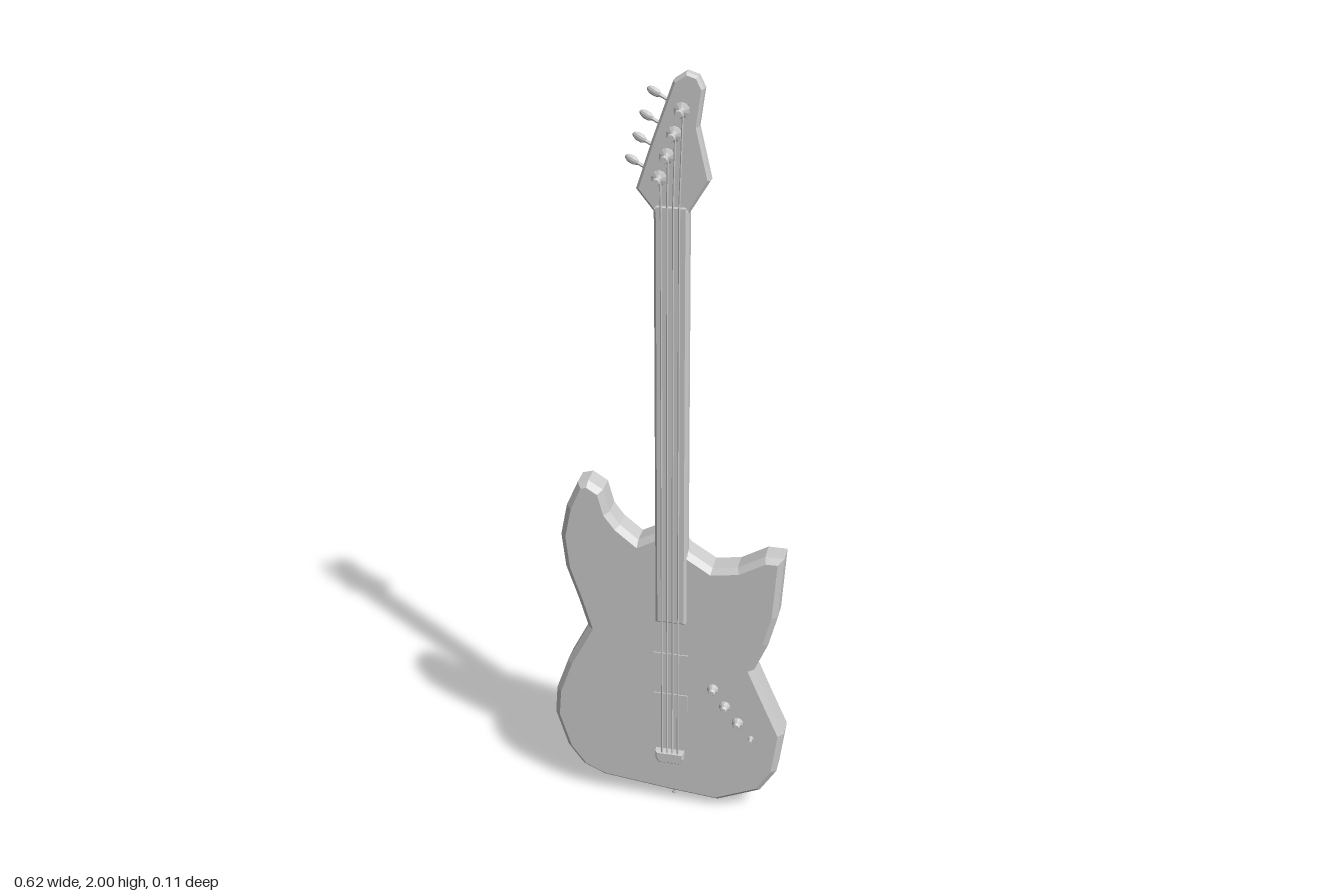
import * as THREE from 'three';

const mat = new THREE.MeshStandardMaterial({ color: 0xcccccc, flatShading: true });

function add(parent, name, geo) {
  const m = new THREE.Mesh(geo, mat);
  m.name = name;
  parent.add(m);
  return m;
}

// Flat outline turned into a slab from z0 to z1 with a chamfer inside the outline
function slab(points, z0, z1, bevel) {
  const shape = new THREE.Shape(points.map(([x, y]) => new THREE.Vector2(x, y)));
  const geo = new THREE.ExtrudeGeometry(shape, {
    depth: z1 - z0 - 2 * bevel, bevelEnabled: true, bevelSize: bevel,
    bevelThickness: bevel, bevelOffset: -bevel, bevelSegments: 1,
  });
  return geo.translate(0, 0, z0 + bevel);
}

const rect = (x0, y0, x1, y1) => [[x0, y0], [x1, y0], [x1, y1], [x0, y1]];

// Straight rod between two points
function rod(a, b, r, sides = 6) {
  return new THREE.TubeGeometry(new THREE.LineCurve3(new THREE.Vector3(...a), new THREE.Vector3(...b)), 1, r, sides);
}

// Turned part whose axis points out of the front face
function turned(profile, sides) {
  return new THREE.LatheGeometry(profile.map(([r, h]) => new THREE.Vector2(r, h)), sides).rotateX(Math.PI / 2);
}

export function createModel() {
  const guitar = new THREE.Group();
  guitar.name = 'guitar';

  // Body with two horns and a waist
  const outline = [
    [-0.23, 0.955], [-0.26, 0.886], [-0.277, 0.80], [-0.267, 0.706], [-0.235, 0.61], [-0.212, 0.53],
    [-0.27, 0.415], [-0.303, 0.32], [-0.309, 0.24], [-0.277, 0.135], [-0.235, 0.077], [-0.177, 0.05],
    [0.0, 0.03], [0.135, 0.018], [0.25, 0.07], [0.293, 0.14], [0.309, 0.265], [0.26, 0.378],
    [0.226, 0.458], [0.26, 0.54], [0.282, 0.627], [0.293, 0.80], [0.245, 0.80], [0.177, 0.76],
    [0.113, 0.75], [0.05, 0.79], [0.0, 0.845], [-0.03, 0.833], [-0.077, 0.807], [-0.124, 0.845],
    [-0.15, 0.88], [-0.166, 0.94], [-0.203, 0.963],
  ];
  add(guitar, 'body', slab(outline, -0.058, 0.02, 0.014));

  // Neck and fretboard
  add(guitar, 'neck', slab(rect(-0.03, 0.58, 0.05, 1.70), -0.008, 0.019, 0.004));
  add(guitar, 'fretboard', slab(rect(-0.03, 0.58, 0.05, 1.69), 0.016, 0.028, 0.006));
  add(guitar, 'nut', new THREE.BoxGeometry(0.07, 0.01, 0.016)).position.set(0.01, 1.69, 0.024);

  // Headstock
  add(guitar, 'headstock', slab([
    [-0.032, 1.68], [0.05, 1.68], [0.098, 1.76], [0.07, 1.88], [0.082, 1.965], [0.068, 1.992],
    [0.042, 2.0], [0.013, 1.98], [-0.035, 1.845], [-0.072, 1.73],
  ], -0.01, 0.02, 0.006));

  // Tuners and strings
  const pegs = [[-0.018, 1.76], [0, 1.812], [0.016, 1.863], [0.033, 1.917]];
  pegs.forEach(([x, y], i) => {
    const tuner = new THREE.Group();
    tuner.name = 'tuner' + (i + 1);
    tuner.position.set(x, y, 0);
    guitar.add(tuner);
    add(tuner, 'tunerPost', turned(
      [[0, 0.018], [0.018, 0.018], [0.018, 0.024], [0.009, 0.028], [0.006, 0.03],
        [0.006, 0.046], [0.01, 0.05], [0.008, 0.056], [0, 0.056]], 10));
    add(tuner, 'tunerShaft', rod([0, 0, 0.008], [-0.062, 0.033, 0.008], 0.004));
    const key = add(tuner, 'tunerKey', new THREE.SphereGeometry(1, 8, 6));
    key.scale.set(0.018, 0.01, 0.007);
    key.position.set(-0.064, 0.034, 0.008);
    key.rotation.z = -0.49;

    const sx = -0.011 + i * 0.014;
    add(guitar, 'string' + (i + 1), rod([sx, 0.16, 0.034], [sx, 1.69, 0.034], 0.0025));
    add(guitar, 'stringEnd' + (i + 1), rod([sx, 1.69, 0.034], [x + 0.006, y, 0.036], 0.0025));
  });

  // Pickups
  for (const y of [0.455, 0.328]) {
    add(guitar, 'pickup', new THREE.BoxGeometry(0.092, 0.058, 0.012)).position.set(0.009, y, 0.017);
  }

  // Bridge
  add(guitar, 'bridge', slab([
    [-0.022, 0.138], [0.038, 0.138], [0.047, 0.155], [0.047, 0.176], [-0.03, 0.176], [-0.03, 0.155],
  ], 0.015, 0.038, 0.005));

  // Control knobs
  [[0.121, 0.39], [0.153, 0.34], [0.188, 0.293]].forEach(([x, y]) => {
    add(guitar, 'knob', turned(
      [[0, 0.018], [0.015, 0.018], [0.015, 0.024], [0.01, 0.028], [0.01, 0.037], [0.007, 0.042], [0, 0.042]], 10,
    )).position.set(x, y, 0);
  });

  // Output jack
  add(guitar, 'jack', turned(
    [[0, 0.018], [0.008, 0.018], [0.008, 0.023], [0.005, 0.025], [0.005, 0.039], [0, 0.039]], 8,
  )).position.set(0.224, 0.247, 0);

  // Strap pin under the body
  add(guitar, 'strapPin', rod([0.012, 0.04, -0.02], [0.012, 0, -0.02], 0.006, 8));
  const cap = add(guitar, 'strapPinCap', new THREE.CylinderGeometry(0.008, 0.008, 0.006, 8));
  cap.position.set(0.012, 0.003, -0.02);

  return guitar;
}
